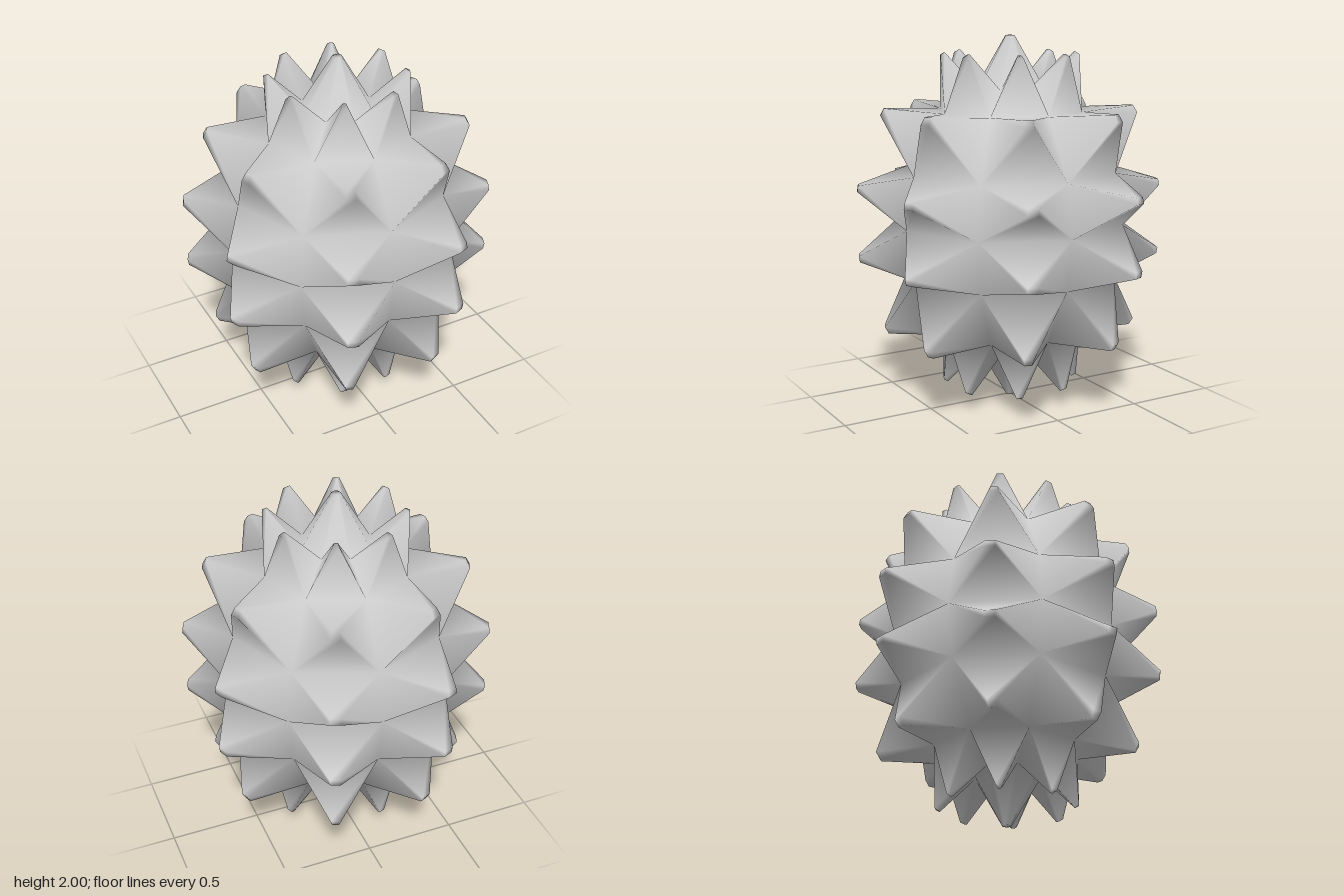
import * as THREE from 'three';

const SEG = 8;
// Valley rings, bottom to top: [radius, height]
const upper = [[0.58, 1.28], [0.395, 1.6], [0.19, 1.72]];
const flip = ([r, y]) => [r, 2 - y];
const rings = [...upper.map(flip).reverse(), [0.625, 1], ...upper];
// Spike tips for each row of cells between the rings
const upperTips = [[0.825, 1.193], [0.685, 1.6], [0.362, 1.905]];
const tips = [...upperTips.map(flip).reverse(), ...upperTips];

const polar = (r, y, step) => {
  const a = (step / SEG) * Math.PI * 2;
  return new THREE.Vector3(r * Math.sin(a), y, r * Math.cos(a));
};

export function createModel() {
  const points = [];
  const index = [];

  // Shared valley points
  for (const [r, y] of rings) {
    for (let j = 0; j < SEG; j++) points.push(polar(r, y, j));
  }
  const valley = (i, j) => i * SEG + (j % SEG);

  // Tapered spike from a loop of corners to a small blunt cap
  function addSpike(loop, tip, blunt) {
    const n = loop.length;
    const centre = new THREE.Vector3();
    loop.forEach((k) => centre.addScaledVector(points[k], 1 / n));
    const cap = loop.map((k) => {
      points.push(points[k].clone().sub(centre).multiplyScalar(blunt).add(tip));
      return points.length - 1;
    });
    for (let k = 0; k < n; k++) {
      const m = (k + 1) % n;
      index.push(loop[k], loop[m], cap[m], loop[k], cap[m], cap[k]);
      if (k > 0 && k < n - 1) index.push(cap[0], cap[k], cap[m]);
    }
  }

  // Rows of spikes around the body
  tips.forEach(([r, y], i) => {
    for (let j = 0; j < SEG; j++) {
      const loop = [valley(i, j), valley(i, j + 1), valley(i + 1, j + 1), valley(i + 1, j)];
      addSpike(loop, polar(r, y, j + 0.5), 0.12);
    }
  });

  // Pole spikes
  const around = [...Array(SEG).keys()];
  addSpike(around.map((j) => valley(rings.length - 1, j)), new THREE.Vector3(0, 2, 0), 0.13);
  addSpike(around.map((j) => valley(0, j)).reverse(), new THREE.Vector3(0, 0, 0), 0.13);

  const geometry = new THREE.BufferGeometry().setFromPoints(points);
  geometry.setIndex(index);
  geometry.computeVertexNormals();

  const body = new THREE.Mesh(geometry, new THREE.MeshStandardMaterial({ color: 0xcccccc }));
  body.name = 'spikedBall';
  const group = new THREE.Group();
  group.name = 'spikedBallModel';
  group.add(body);
  return group;
}
